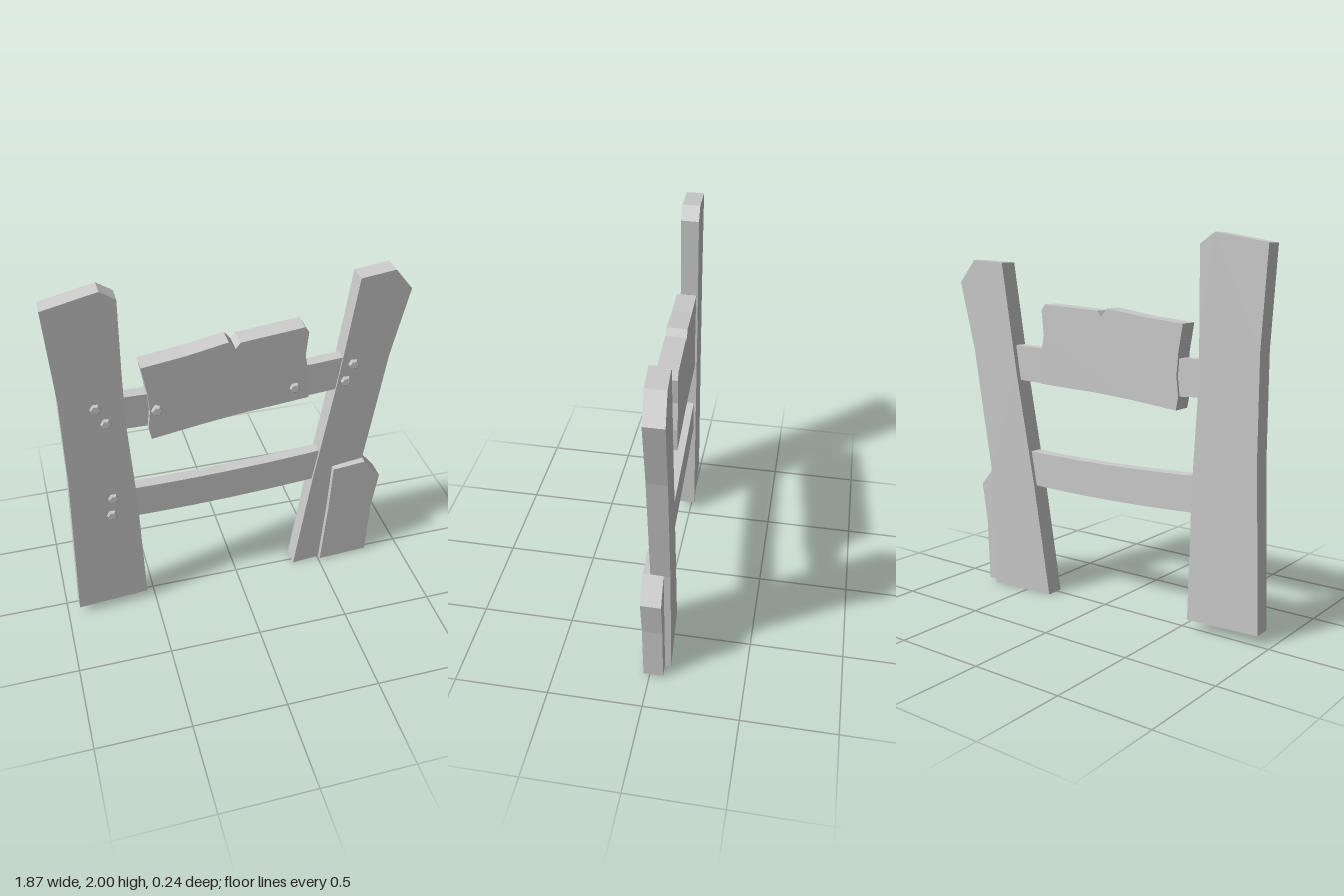
import * as THREE from 'three';

const material = new THREE.MeshStandardMaterial({ color: 0xcccccc, flatShading: true });

// A plank: outline extruded to a thickness, its mid-plane z = z0 + slope * x
function plank(name, points, thickness, z0, slope) {
  const shape = new THREE.Shape(points.map(([x, y]) => new THREE.Vector2(x, y)));
  const geo = new THREE.ExtrudeGeometry(shape, { depth: thickness, bevelEnabled: false });
  const pos = geo.attributes.position;
  for (let i = 0; i < pos.count; i++) {
    pos.setZ(i, pos.getZ(i) - thickness / 2 + z0 + slope * pos.getX(i));
  }
  geo.computeVertexNormals();
  const mesh = new THREE.Mesh(geo, material);
  mesh.name = name;
  return mesh;
}

// A gently sagging rail between the posts
function rail(name, x0, x1, yMid, height, sag) {
  const steps = 6, top = [], bottom = [];
  for (let i = 0; i <= steps; i++) {
    const t = i / steps, u = 2 * t - 1;
    const x = x0 + (x1 - x0) * t, y = yMid + sag * u * u;
    top.unshift([x, y + height / 2]);
    bottom.push([x, y - height / 2]);
  }
  return plank(name, [...bottom, ...top], 0.065, -0.003, -0.045);
}

// Six-sided bolt head with a chamfered rim, sunk slightly into the wood
function bolt(x, y, z, out) {
  const profile = [[0.014, -0.02], [0.014, out - 0.02], [0.028, out - 0.018], [0.028, out - 0.005], [0.021, out], [0, out]];
  const geo = new THREE.LatheGeometry(profile.map(([r, h]) => new THREE.Vector2(r, h)), 6, Math.PI / 2);
  geo.rotateX(Math.PI / 2);
  const mesh = new THREE.Mesh(geo, material);
  mesh.position.set(x, y, z);
  mesh.rotation.y = -0.07;
  mesh.name = 'bolt';
  return mesh;
}

export function createModel() {
  const group = new THREE.Group();
  group.name = 'woodenSignpost';

  // Upright post
  group.add(plank('rightPost', [
    [-0.935, 0.05], [-0.545, 0.05], [-0.56, 0.75], [-0.587, 1.25], [-0.587, 1.55], [-0.582, 1.945],
    [-0.66, 2.0], [-0.935, 1.95], [-0.906, 1.45], [-0.906, 0.95],
  ], 0.095, -0.018, -0.075));

  // Leaning post
  group.add(plank('leftPost', [
    [0.345, 0], [0.72, 0], [0.74, 0.69], [0.788, 1.0], [0.842, 1.36], [0.93, 1.735],
    [0.83, 1.858], [0.638, 1.845], [0.55, 1.25], [0.44, 0.62],
  ], 0.1, 0.013, -0.09));

  // Short brace at the foot of the leaning post
  group.add(plank('footBrace', [
    [0.508, 0.008], [0.798, 0.008], [0.81, 0.35], [0.842, 0.57], [0.742, 0.692], [0.555, 0.682], [0.54, 0.4],
  ], 0.105, 0.02, -0.05));

  // Cross rails
  group.add(rail('upperRail', -0.7, 0.66, 1.285, 0.19, 0.02));
  group.add(rail('lowerRail', -0.68, 0.58, 0.7, 0.19, 0.018));

  // Ragged sign board with a notch in its top edge
  group.add(plank('signBoard', [
    [-0.462, 1.13], [-0.2, 1.16], [0, 1.178], [0.385, 1.198], [0.386, 1.32], [0.358, 1.46], [0.371, 1.595],
    [0.35, 1.628], [0.01, 1.606], [-0.015, 1.575], [-0.05, 1.62], [-0.27, 1.585], [-0.495, 1.562],
    [-0.472, 1.42], [-0.463, 1.3], [-0.475, 1.2],
  ], 0.105, -0.002, -0.057));

  // Bolts: x, y, front surface z, protrusion
  const bolts = [
    [-0.73, 1.373, 0.084, 0.018], [-0.685, 1.275, 0.081, 0.018],
    [-0.685, 0.79, 0.081, 0.018], [-0.7, 0.68, 0.082, 0.018],
    [-0.43, 1.322, 0.075, 0.045], [0.305, 1.278, 0.033, 0.018],
    [0.632, 1.355, 0.006, 0.025], [0.595, 1.258, 0.009, 0.025],
  ];
  for (const b of bolts) group.add(bolt(...b));

  return group;
}
